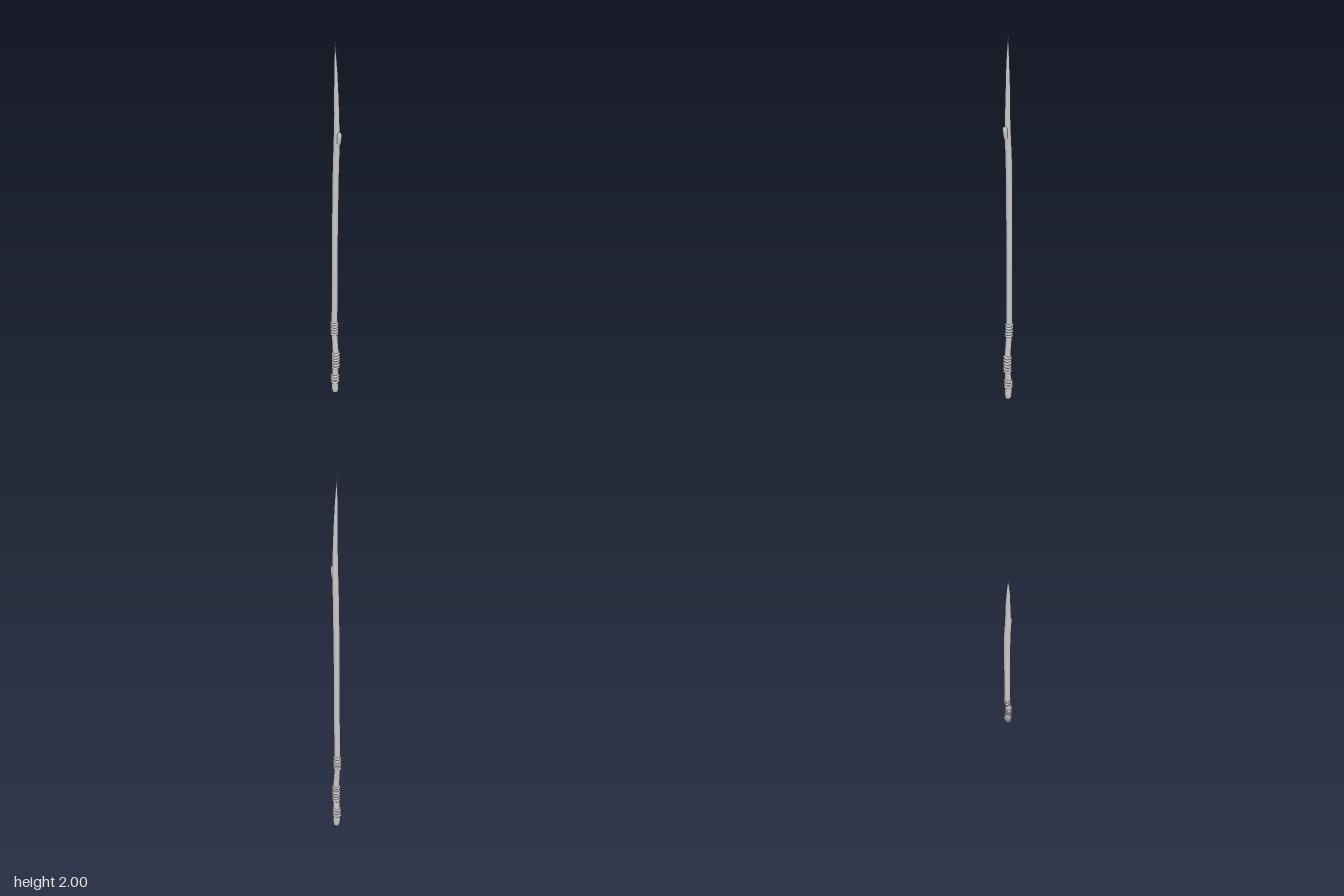
import * as THREE from 'three';

const material = new THREE.MeshStandardMaterial({ color: 0xcccccc });

// Shaft cross-sections: height, centre x, centre z, radius x, radius z
const sections = [
  [0, 0, 0, 0.001, 0.001],
  [0.004, 0, 0, 0.013, 0.013],
  [0.014, 0, 0, 0.019, 0.018],
  [0.035, 0, -0.001, 0.021, 0.02],
  [0.09, 0, -0.003, 0.021, 0.02],
  [0.15, 0, 0.001, 0.02, 0.018],
  [0.2, 0, 0.005, 0.02, 0.018],
  [0.27, 0, 0.004, 0.02, 0.018],
  [0.34, 0, -0.001, 0.018, 0.017],
  [0.4, 0, -0.006, 0.018, 0.018],
  [0.48, 0.001, -0.007, 0.018, 0.018],
  [0.7, 0.002, -0.005, 0.018, 0.017],
  [1.0, 0.003, -0.005, 0.018, 0.017],
  [1.2, 0.004, -0.003, 0.018, 0.017],
  [1.4, 0.005, 0, 0.017, 0.018],
  [1.48, 0.005, 0.004, 0.017, 0.018],
  [1.56, 0.004, 0.006, 0.016, 0.016],
  [1.65, 0.004, 0.006, 0.014, 0.014],
  [1.76, 0.003, 0.004, 0.012, 0.012],
  [1.86, 0.001, 0.003, 0.009, 0.009],
  [1.94, 0, 0.001, 0.005, 0.005],
  [2, 0, 0, 0.0005, 0.0005],
];

// Interpolated section at a given height
function sectionAt(y) {
  const i = Math.max(1, sections.findIndex((s) => s[0] >= y));
  const a = sections[i - 1], b = sections[i];
  const t = (y - a[0]) / (b[0] - a[0]);
  return a.map((v, k) => THREE.MathUtils.lerp(v, b[k], t));
}

// Smooth skin over elliptical sections
function loft(rows, sides = 20) {
  const positions = [], index = [];
  rows.forEach(([y, cx, cz, rx, rz], j) => {
    for (let i = 0; i < sides; i++) {
      const a = (i / sides) * Math.PI * 2;
      positions.push(cx + Math.cos(a) * rx, y, cz + Math.sin(a) * rz);
      if (j === rows.length - 1) continue;
      const p = j * sides + i, n = j * sides + ((i + 1) % sides);
      index.push(p, p + sides, n, n, p + sides, n + sides);
    }
  });
  const g = new THREE.BufferGeometry();
  g.setAttribute('position', new THREE.Float32BufferAttribute(positions, 3));
  g.setIndex(index);
  g.computeVertexNormals();
  return g;
}

function addMesh(parent, name, geometry) {
  const mesh = new THREE.Mesh(geometry, material);
  mesh.name = name;
  parent.add(mesh);
  return mesh;
}

export function createModel() {
  const model = new THREE.Group();
  model.name = 'woodenSpear';
  addMesh(model, 'shaft', loft(sections));

  // Cord bindings: each turn hugs the shaft at a slightly different tilt
  const bindings = [
    ['lowerBinding', [0.083, 0.103, 0.121]],
    ['middleBinding', [0.184, 0.202, 0.22, 0.238, 0.256, 0.273]],
    ['upperBinding', [0.405, 0.421, 0.437, 0.455, 0.472]],
  ];
  for (const [name, heights] of bindings) {
    const binding = new THREE.Group();
    binding.name = name;
    heights.forEach((y, i) => {
      const [, cx, cz, rx, rz] = sectionAt(y);
      const g = new THREE.TorusGeometry(1, 0.36, 8, 24).rotateX(Math.PI / 2);
      g.scale(rx * 0.92, 0.022, rz * 0.98);
      g.rotateX(Math.sin(i * 2.3) * 0.14).rotateZ(Math.cos(i * 1.7) * 0.1);
      addMesh(binding, 'cordTurn', g).position.set(cx, y, cz);
    });
    model.add(binding);
  }

  // Cut branch stub below the point, leaning out to the front
  addMesh(model, 'branchStub', loft([
    [1.47, 0.005, 0.008, 0.009, 0.01],
    [1.5, 0.005, 0.014, 0.011, 0.011],
    [1.525, 0.005, 0.02, 0.012, 0.013],
    [1.55, 0.005, 0.022, 0.012, 0.013],
    [1.563, 0.005, 0.022, 0.011, 0.012],
    [1.567, 0.005, 0.02, 0.008, 0.009],
    [1.567, 0.005, 0.02, 0.0005, 0.0005],
  ], 14));

  return model;
}
